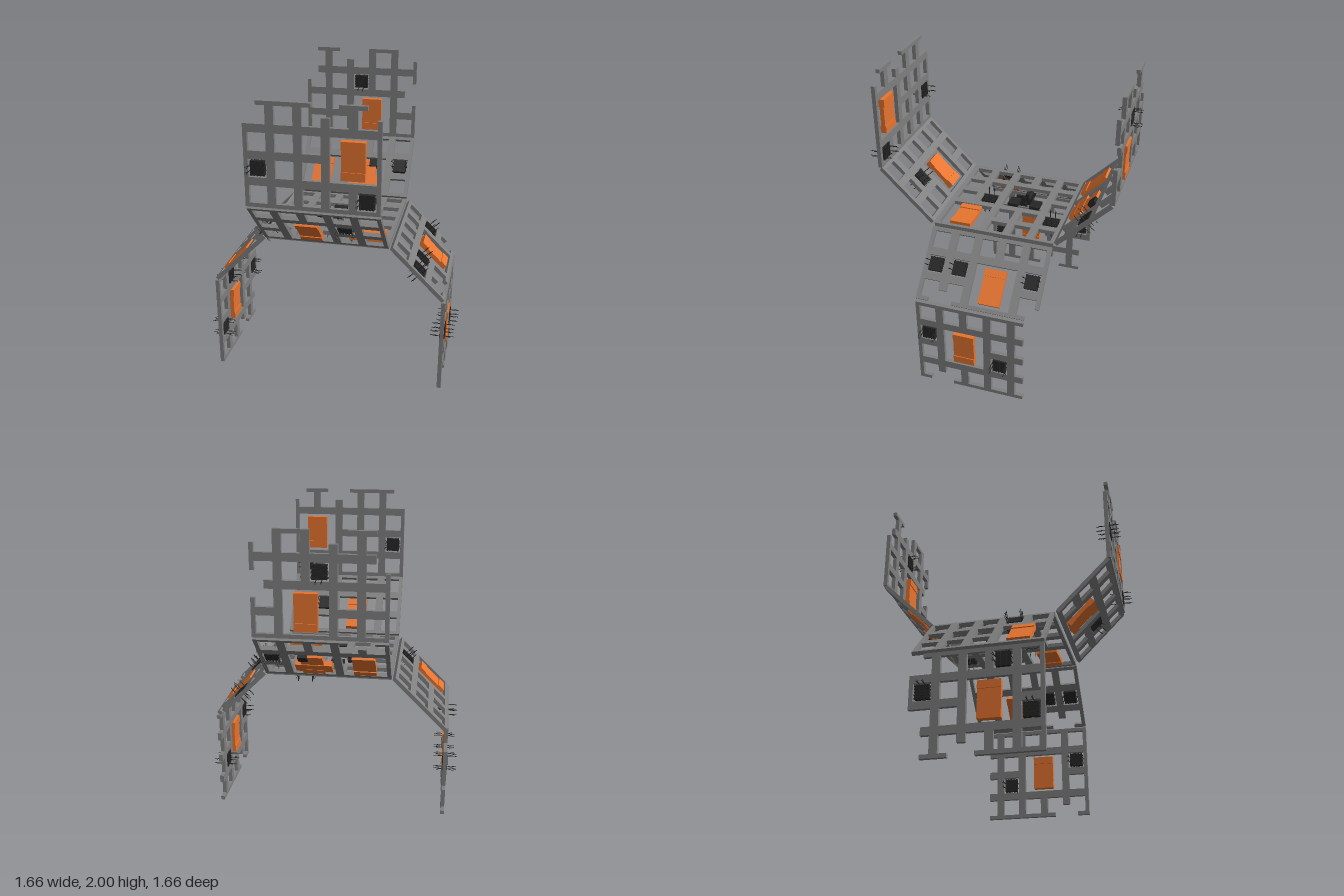
import * as THREE from 'three';
import { mergeGeometries } from 'three/addons/utils/BufferGeometryUtils.js';

const P = 0.16, W = 0.025, T = 0.026; // node pitch, half bar width, bar thickness
const frameMat = new THREE.MeshStandardMaterial({ color: 0x808080 });
const orangeMat = new THREE.MeshStandardMaterial({ color: 0xe87530 });
const darkMat = new THREE.MeshStandardMaterial({ color: 0x262626 });

const box = (w, h, d, x = 0, y = 0, z = 0) => new THREE.BoxGeometry(w, h, d).translate(x, y, z);

function part(name, geos, mat, parent) {
  const m = new THREE.Mesh(mergeGeometries(geos), mat);
  m.name = name;
  parent.add(m);
  return m;
}

// Lattice from a node map: '#' node with stubs, '+' node without stubs, '.' gap, 'o' node replaced by a block
function lattice(rows) {
  const geos = [], top = (rows.length - 1) * P;
  const add = (x0, x1, y0, y1) => {
    x0 = Math.max(x0, -0.4); x1 = Math.min(x1, 0.4);
    y0 = Math.max(y0, 0); y1 = Math.min(y1, top);
    if (x1 - x0 > 1e-4 && y1 - y0 > 1e-4) geos.push(box(x1 - x0, y1 - y0, T, (x0 + x1) / 2, (y0 + y1) / 2));
  };
  rows.forEach((row, j) => [...row].forEach((c, i) => {
    if (c === '.' || c === 'o') return;
    const x = -0.4 + i * P, y = j * P;
    add(x - W, x + W, y - W, y + W);
    for (const [dx, dy] of [[1, 0], [-1, 0], [0, 1], [0, -1]]) {
      const n = rows[j + dy]?.[i + dx];
      if (!n || n === 'o' || (n === '.' && c === '+')) continue;
      const x2 = x + dx * P / 2, y2 = y + dy * P / 2;
      if (dx) add(Math.min(x + dx * W, x2), Math.max(x + dx * W, x2), y - W, y + W);
      else add(x - W, x + W, Math.min(y + dy * W, y2), Math.max(y + dy * W, y2));
    }
  }));
  return geos;
}

// Orange block with thicker ends and a recessed middle
function block(parent, u, v, turned) {
  const m = part('orangeBlock', [
    box(0.14, 0.13, 0.028),
    box(0.14, 0.05, 0.04, 0, 0.09), box(0.14, 0.05, 0.04, 0, -0.09),
  ], orangeMat, parent);
  m.position.set(u, v, 0);
  if (turned) m.rotation.z = Math.PI / 2;
}

// Dark square unit with long pins and splayed side pins through it
function pinUnit(parent, u, v, turned) {
  const geos = [box(0.088, 0.088, 0.026)];
  for (let k = -2; k <= 2; k++) geos.push(box(0.008, 0.092, 0.034, k * 0.019));
  for (const a of [-0.017, 0.017]) for (const b of [-1, 1]) {
    geos.push(new THREE.CylinderGeometry(0.0022, 0.0022, 0.15, 5).rotateX(Math.PI / 2).translate(b * 0.046, a, 0));
    for (const s of [-1, 1]) {
      geos.push(new THREE.CylinderGeometry(0.0015, 0.0025, 0.06, 5).rotateX(s * Math.PI / 2)
        .rotateY(s * b * 0.3).translate(b * 0.05, a, s * 0.03));
    }
  }
  const m = part('pinUnit', geos, darkMat, parent);
  m.position.set(u, v, 0);
  if (turned) m.rotation.z = Math.PI / 2;
}

// Panel: x across, y outward from the hinge
function panel(parent, name, y, z, angle, rows, pins, turnedBlocks = false) {
  const g = new THREE.Group();
  g.name = name;
  g.position.set(0, y, z);
  g.rotation.x = angle;
  part('lattice', lattice(rows), frameMat, g);
  rows.forEach((r, j) => [...r].forEach((c, i) => {
    if (c === 'o' && !(turnedBlocks && i === 2)) block(g, -0.4 + i * P, j * P, turnedBlocks);
  }));
  pins.forEach(p => pinUnit(g, ...p));
  parent.add(g);
  return g;
}

const full = '######';
const arms = [
  { name: 'front', yaw: 0, up: true,
    slant: [full, '##o###', full, full], slantPins: [[0.16, 0.24]],
    outer: [full, full, '####o#', '+#####', '.##.#.'], outerPins: [[-0.32, 0.24], [0.32, 0.08]] },
  { name: 'back', yaw: Math.PI, up: true,
    slant: [full, '##o#o#', full, '####.#'], slantPins: [[-0.32, 0.24]],
    outer: [full, '##o###', '.#####', '#####.', '.++.#.'], outerPins: [[0, 0.4, true]] },
  { name: 'left', yaw: Math.PI / 2, up: false,
    slant: [full, full, '###o##', '#.###.'], slantPins: [[0.32, 0.24], [-0.16, 0.24], [-0.32, 0.24]],
    outer: ['#####.', '#####.', '##o##.', '#####.', '#.###.'], outerPins: [[-0.32, 0.24], [0.16, 0.4]] },
  { name: 'right', yaw: -Math.PI / 2, up: false,
    slant: [full, full, '####o#', full], slantPins: [[0.16, 0.08]],
    outer: ['.#####', '+#####', '+##o##', '.#####', '.#.###'],
    outerPins: [[0.16, 0.08], [0.32, 0.4, true], [-0.32, 0.24, true]] },
];

export function createModel() {
  const model = new THREE.Group();
  model.name = 'latticeStructure';

  // Central horizontal panel
  const deck = panel(model, 'centrePanel', 1, -0.4, Math.PI / 2,
    [full, full, '##o###', full, '####o#', full], [[0.16, 0.08], [0, 0.56]], true);

  // Tool unit hanging in the opening of the centre panel (local z points down)
  const tool = [
    box(0.09, 0.07, 0.02, -0.028, 0.24), box(0.09, 0.07, 0.02, -0.028, 0.39),
    new THREE.CylinderGeometry(0.018, 0.018, 0.1, 10).rotateZ(Math.PI / 2).translate(-0.14, 0.315, 0.01),
    box(0.05, 0.03, 0.06, -0.15, 0.315, 0.04),
    box(0.012, 0.012, 0.06, -0.165, 0.315, 0.085),
    box(0.03, 0.02, 0.05, -0.1, 0.315, -0.015),
  ];
  for (let k = 0; k < 4; k++) tool.push(box(0.008, 0.06, 0.02, -0.18 + k * 0.025, 0.315, 0.01));
  part('toolUnit', tool, darkMat, deck);

  // Four arms: a sloped panel, then an upright one
  for (const a of arms) {
    const arm = new THREE.Group();
    arm.name = a.name + 'Arm';
    arm.rotation.y = a.yaw;
    const slope = panel(arm, 'slopedPanel', a.up ? 1.013 : 0.993, 0.415, a.up ? Math.PI / 4 : Math.PI * 0.75, a.slant, a.slantPins);
    panel(arm, 'uprightPanel', a.up ? 1.36 : 0.64, 0.757, a.up ? 0 : Math.PI, a.outer, a.outerPins);
    // Side wing and small dark unit on one back block
    if (a.name === 'back') {
      part('blockWing', [box(0.23, 0.09, 0.036, -0.075, 0.115)], orangeMat, slope);
      part('blockUnit', [box(0.06, 0.055, 0.05, -0.13, 0.25)], darkMat, slope);
    }
    model.add(arm);
  }
  return model;
}
